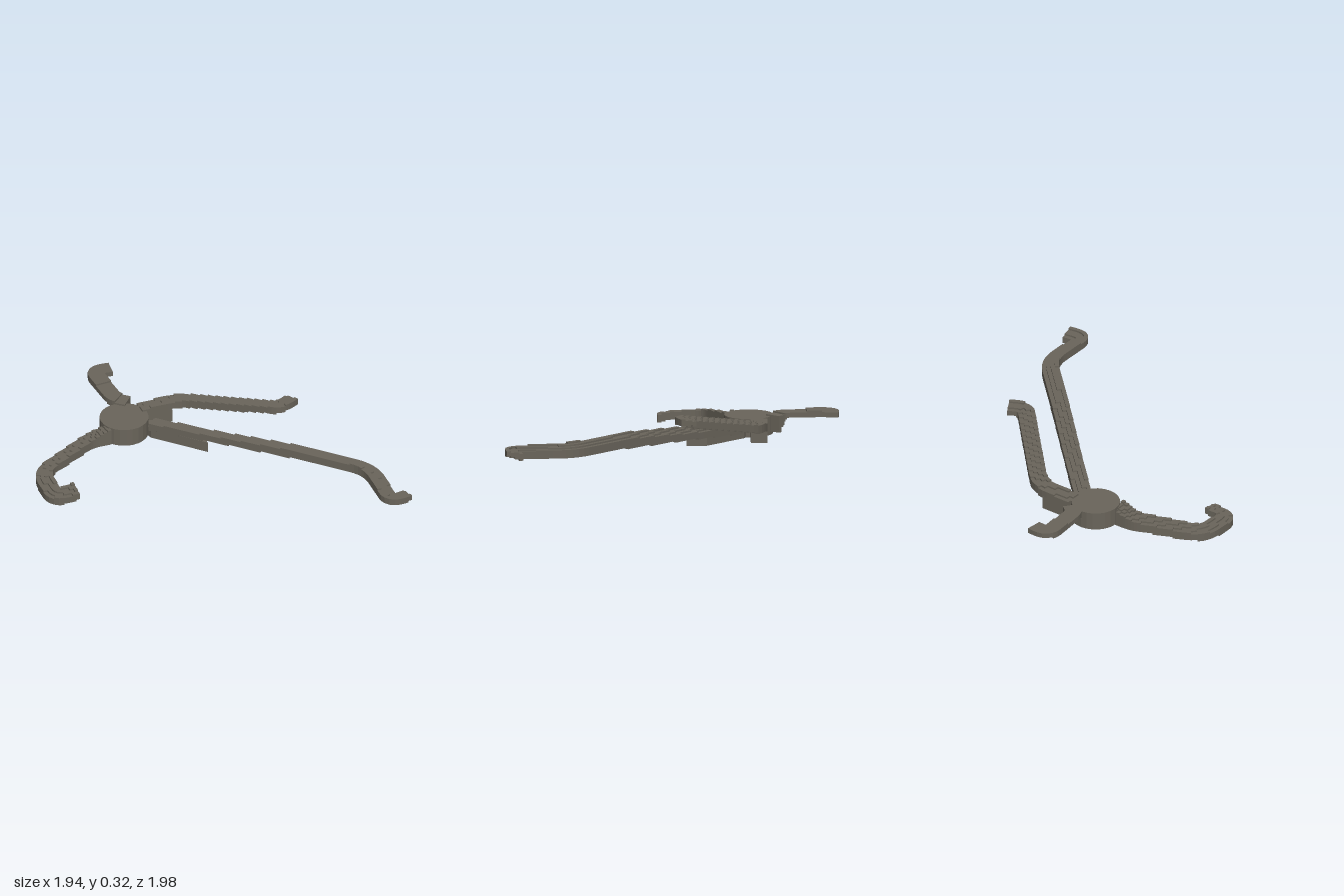
import * as THREE from 'three';

const material = new THREE.MeshStandardMaterial({ color: 0x6a655b, flatShading: true, side: THREE.DoubleSide });
const HALF_WIDTH = 0.05, STEP = 0.01, SPACING = 0.025, LANES = 4;
const terrace = (h) => Math.round(h / STEP) * STEP;

// Rounds the corners of a path of [x, z, top, bottom, radius] and samples it evenly.
function samplePath(corners) {
  const pts = corners.map(([x, z, top, bottom]) => new THREE.Vector4(x, top, z, bottom));
  const flat = (a, b) => Math.hypot(a.x - b.x, a.z - b.z);
  const out = [];
  const line = (a, b) => {
    const n = Math.max(1, Math.round(flat(a, b) / SPACING));
    for (let i = 0; i < n; i++) out.push(a.clone().lerp(b, i / n));
  };
  let from = pts[0];
  for (let i = 1; i < pts.length - 1; i++) {
    const p = pts[i], r = corners[i][4];
    const a = p.clone().lerp(pts[i - 1], r / flat(p, pts[i - 1]));
    const b = p.clone().lerp(pts[i + 1], r / flat(p, pts[i + 1]));
    line(from, a);
    for (let k = 0; k < 6; k++) {
      const t = k / 6;
      out.push(a.clone().lerp(p, t).lerp(p.clone().lerp(b, t), t));
    }
    from = b;
  }
  line(from, pts[pts.length - 1]);
  out.push(pts[pts.length - 1]);
  return out;
}

// A ribbon whose top and underside rise in small terraces, along and across its width.
function terracedArm(name, corners, tilt) {
  const path = samplePath(corners), positions = [], index = [];
  const ringSize = LANES * 4;
  let rings = 0;
  const ring = (i, top, bottom) => {
    const p = path[i], a = path[Math.max(0, i - 1)], b = path[Math.min(path.length - 1, i + 1)];
    const len = Math.hypot(b.x - a.x, b.z - a.z);
    const sx = -(b.z - a.z) / len, sz = (b.x - a.x) / len;
    const upper = [], lower = [];
    for (let l = 0; l < LANES; l++) {
      const mid = ((l + 0.5) / LANES) * 2 - 1;
      for (const edge of [l, l + 1]) {
        const o = ((edge / LANES) * 2 - 1) * HALF_WIDTH;
        const x = p.x + sx * o, z = p.z + sz * o;
        upper.push([x, terrace(top + tilt * mid), z]);
        lower.unshift([x, Math.max(0, terrace(bottom + tilt * mid)), z]);
      }
    }
    positions.push(...upper.flat(), ...lower.flat());
    rings++;
  };
  for (let i = 0; i < path.length - 1; i++) {
    const top = (path[i].y + path[i + 1].y) / 2, bottom = (path[i].w + path[i + 1].w) / 2;
    ring(i, top, bottom);
    ring(i + 1, top, bottom);
  }
  for (let r = 0; r < rings - 1; r++) {
    for (let j = 0; j < ringSize; j++) {
      const k = (j + 1) % ringSize, a = r * ringSize, b = a + ringSize;
      index.push(a + j, a + k, b + k, a + j, b + k, b + j);
    }
  }
  // End caps
  const last = (rings - 1) * ringSize;
  for (let j = 0; j < LANES * 2 - 1; j++) {
    const q = [j, j + 1, ringSize - 2 - j, ringSize - 1 - j];
    index.push(q[0], q[2], q[1], q[0], q[3], q[2]);
    index.push(last + q[0], last + q[1], last + q[2], last + q[0], last + q[2], last + q[3]);
  }
  const geometry = new THREE.BufferGeometry();
  geometry.setAttribute('position', new THREE.Float32BufferAttribute(positions, 3));
  geometry.setIndex(index);
  return finish(name, geometry);
}

function finish(name, geometry) {
  const g = geometry.index ? geometry.toNonIndexed() : geometry;
  g.computeVertexNormals();
  const mesh = new THREE.Mesh(g, material);
  mesh.name = name;
  return mesh;
}

// Upright block with an outline given in [x, z].
function block(name, outline, bottom, top) {
  const shape = new THREE.Shape(outline.map(([x, z]) => new THREE.Vector2(x, -z)));
  const geometry = new THREE.ExtrudeGeometry(shape, { depth: top - bottom, bevelEnabled: false });
  geometry.rotateX(-Math.PI / 2).translate(0, bottom, 0);
  return finish(name, geometry);
}

export function createModel() {
  const model = new THREE.Group();
  model.name = 'hubWithArms';

  // Round hub
  const hub = finish('hub', new THREE.CylinderGeometry(0.145, 0.145, 0.11, 24).translate(-0.31, 0.105, -0.46));
  model.add(hub);

  // Four arms with hooked ends: x, z, top, bottom, corner radius
  model.add(terracedArm('rightArm', [
    [-0.43, -0.40, 0.155, 0.05],
    [-0.55, -0.40, 0.11, 0.055, 0.05],
    [-0.925, -0.225, 0.065, 0.02, 0.1],
    [-0.925, 0.03, 0.05, 0.005, 0.07],
    [-0.79, 0.025, 0.07, 0.03],
  ], -0.012));
  model.add(terracedArm('backArm', [
    [-0.235, -0.60, 0.165, 0.06],
    [-0.30, -0.655, 0.18, 0.15, 0.04],
    [-0.325, -0.95, 0.19, 0.155, 0.07],
    [-0.215, -0.94, 0.19, 0.16],
  ], 0));
  model.add(terracedArm('leftArm', [
    [-0.19, -0.52, 0.165, 0.12],
    [0.06, -0.52, 0.18, 0.13, 0.09],
    [0.52, -0.05, 0.31, 0.265, 0.06],
    [0.61, -0.10, 0.31, 0.28],
  ], 0.008));
  model.add(terracedArm('longFrontArm', [
    [-0.16, -0.39, 0.14, 0.09],
    [0.10, -0.135, 0.155, 0.115, 0.05],
    [0.50, 0.26, 0.20, 0.145, 0.05],
    [0.845, 0.60, 0.205, 0.155, 0.11],
    [0.845, 0.95, 0.19, 0.145, 0.07],
    [0.96, 0.93, 0.19, 0.155],
  ], 0.015));

  // Supports under the roots of the two longest arms
  model.add(block('longArmSupport',
    [[-0.22, -0.47], [-0.14, -0.43], [0.08, -0.21], [0.08, -0.09], [-0.18, -0.35]], 0.05, 0.115));
  model.add(block('leftArmSupport',
    [[-0.22, -0.57], [0, -0.57], [0, -0.47], [-0.22, -0.47]], 0.05, 0.13));

  return model;
}
